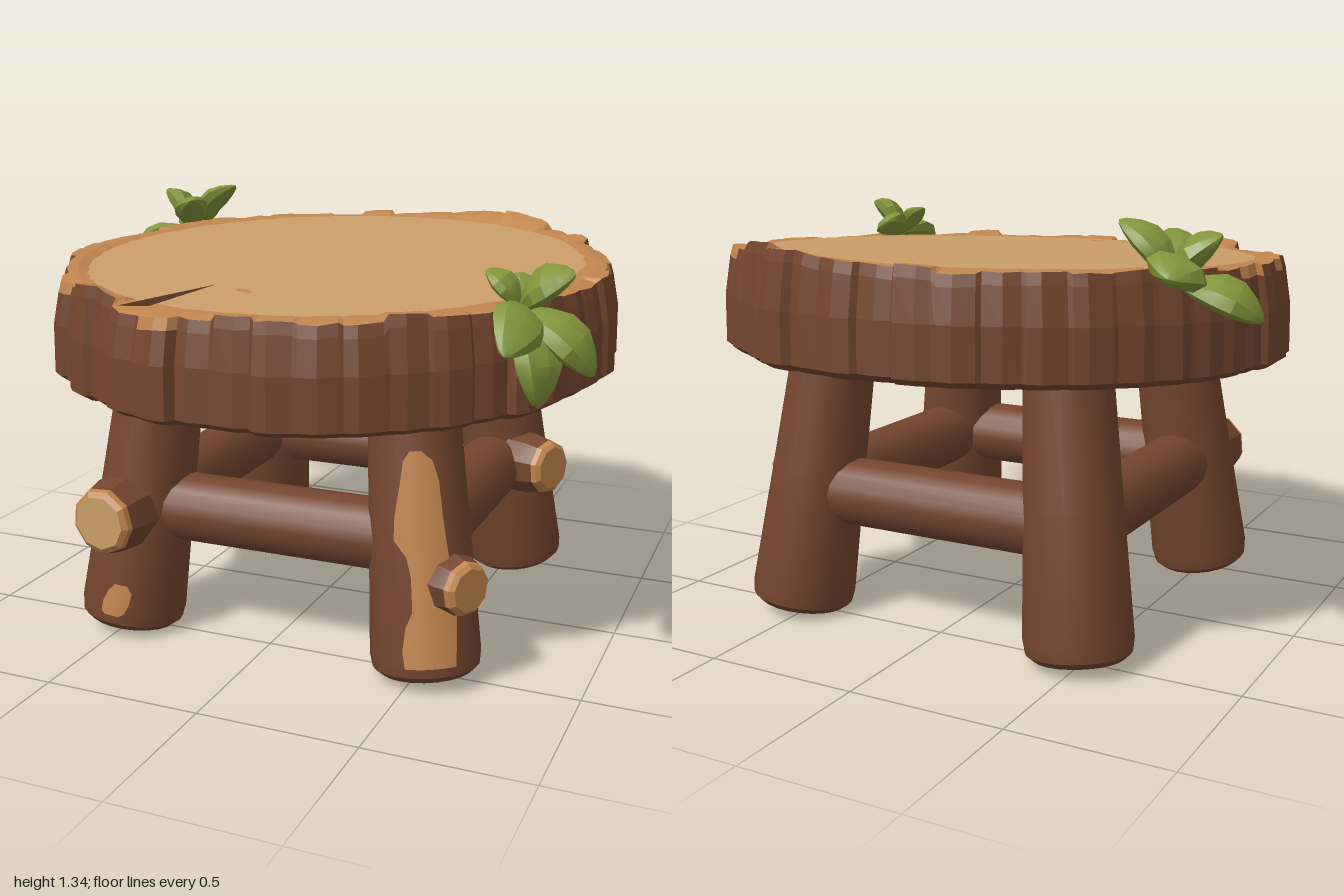
import * as THREE from 'three';
import { toCreasedNormals } from 'three/addons/utils/BufferGeometryUtils.js';

const V = (x, y, z) => new THREE.Vector3(x, y, z);
const UP = V(0, 1, 0);

function makeMaterial(name, color) {
  const m = new THREE.MeshStandardMaterial({ color });
  m.name = name;
  return m;
}

function rng(seed) {
  return () => ((seed = (seed * 16807) % 2147483647) - 1) / 2147483646;
}

export function createModel() {
  const bark = makeMaterial('bark', 0x74452f);
  const wood = makeMaterial('pale wood', 0xcb9f69);
  const rimWood = makeMaterial('orange wood', 0xc0854e);
  const leafGreen = makeMaterial('leaf green', 0x82943a);
  const crackDark = makeMaterial('crack brown', 0x55321f);

  const model = new THREE.Group();
  model.name = 'logStool';

  function add(parent, name, geometry, material) {
    const mesh = new THREE.Mesh(geometry, material);
    mesh.name = name;
    parent.add(mesh);
    return mesh;
  }

  // Group whose local y axis runs from a towards b
  function axisGroup(name, a, b) {
    const g = new THREE.Group();
    g.name = name;
    g.position.copy(a);
    g.quaternion.setFromUnitVectors(UP, b.clone().sub(a).normalize());
    model.add(g);
    return g;
  }

  function lathe(profile, sides, crease = 0.6) {
    const pts = profile.map(([r, y]) => new THREE.Vector2(r, y));
    return toCreasedNormals(new THREE.LatheGeometry(pts, sides), crease);
  }

  // ---- Seat: a slightly tilted log slice with irregular bark plates ----
  const CX = 0.02;
  const topY = z => 1.168 - 0.045 * z;
  const baseY = z => 0.855 - 0.04 * z;
  const rand = rng(4711);
  const crackAngle = -0.297;
  const plates = 46;
  const columns = [];
  for (let k = 0; k < plates; k++) {
    const shift = (rand() - 0.5) * 0.036;
    const lift = (rand() - 0.5) * 0.024;
    const chipped = rand() < 0.14;
    const skew = (rand() - 0.5) * 0.3;
    for (const f of [0.06, 0.5, 0.94]) {
      const t = ((k + f + skew * (f === 0.5 ? 1 : 0)) / plates) * Math.PI * 2 - Math.PI;
      const swell = f === 0.5 ? 0.008 : 0;
      let h = lift + 0.008 * Math.sin(3 * t) + (rand() - 0.5) * 0.008;
      h += 0.03 * Math.exp(-(((t - 2.8) / 0.3) ** 2));
      h += 0.035 * Math.exp(-(((t + 0.55) / 0.16) ** 2));
      if (Math.abs(t - crackAngle) < 0.08) h = -0.015;
      columns.push({ t, r: shift + swell, h, chipped, inner: (rand() - 0.5) * 0.012 });
    }
  }
  const ring = (radius, grow, yFn) => columns.map(c => {
    const r = radius + grow * c.r + (radius < 0.85 && radius > 0 ? c.inner : 0);
    const x = CX + Math.sin(c.t) * r;
    const z = Math.cos(c.t) * r * 1.015;
    return V(x, yFn(z, c), z);
  });
  const rings = [
    ring(0, 0, z => baseY(z) - 0.005),
    ring(0.885, 0.8, z => baseY(z) - 0.005),
    ring(0.912, 1, z => baseY(z) + 0.015),
    ring(0.908, 1.1, z => baseY(z) + 0.17),
    ring(0.89, 1, (z, c) => topY(z) + c.h - 0.035),
    ring(0.88, 1, (z, c) => topY(z) + c.h),
    ring(0.84, 0.3, (z, c) => topY(z) + c.h * 0.5 + 0.004),
    ring(0.805, 0, z => topY(z)),
    ring(0, 0, z => topY(z)),
  ];
  const faces = { seatBark: [], seatRim: [], seatTop: [] };
  for (let i = 0; i < rings.length - 1; i++) {
    for (let j = 0; j < columns.length; j++) {
      const n = (j + 1) % columns.length;
      const [a, b, c, d] = [rings[i][j], rings[i][n], rings[i + 1][n], rings[i + 1][j]];
      const chip = i === 4 && columns[j].chipped;
      const part = i === 7 ? 'seatTop' : i > 4 || chip ? 'seatRim' : 'seatBark';
      if (i > 0) faces[part].push(a, b, d);
      if (i < 7) faces[part].push(b, c, d);
    }
  }
  const seatMaterials = { seatBark: bark, seatRim: rimWood, seatTop: wood };
  for (const [name, pts] of Object.entries(faces)) {
    const g = new THREE.BufferGeometry().setFromPoints(pts);
    g.computeVertexNormals();
    add(model, name, g, seatMaterials[name]);
  }

  // Thin flat marks lying on the seat, outlined by x,z pairs
  function topMark(name, outline, material) {
    const shape = new THREE.Shape(outline.map(([x, z]) => new THREE.Vector2(x, -z)));
    const g = new THREE.ShapeGeometry(shape).rotateX(-Math.PI / 2);
    const p = g.attributes.position;
    for (let i = 0; i < p.count; i++) p.setY(i, topY(p.getZ(i)) + 0.008);
    g.computeVertexNormals();
    add(model, name, g, material);
  }
  topMark('seatCrack', [[-0.15, 0.53], [-0.29, 0.865], [-0.25, 0.86], [-0.2, 0.84]], crackDark);
  topMark('seatScuff', [[-0.07, 0.56], [-0.05, 0.59], [0, 0.61], [0, 0.59], [-0.03, 0.56]], rimWood);

  // ---- Legs: tapered logs splayed towards the corners ----
  const legLength = 0.9;
  const legRadius = h => 0.17 - 0.036 * (h / legLength);
  const legGeometry = lathe([[0, 0], [0.14, 0], [0.163, 0.02], [0.169, 0.06],
    [legRadius(0.45), 0.45], [legRadius(0.9), 0.9]], 22);
  const legs = {};
  for (const [sx, sz, name] of [[1, 1, 'frontLeftLeg'], [-1, 1, 'frontRightLeg'],
    [1, -1, 'backLeftLeg'], [-1, -1, 'backRightLeg']]) {
    const x = sx > 0 ? 0.53 : 0.495;
    const leg = axisGroup(name, V(sx * x, 0.018, sz * 0.515), V(sx * (x - 0.095), 0.9, sz * 0.415));
    add(leg, name + 'Log', legGeometry, bark);
    legs[name] = leg;
  }

  // Peeled patches hugging a leg; rows of [height, from, to] in degrees, top first
  function peel(leg, name, rows) {
    const cols = 8;
    const g = new THREE.PlaneGeometry(1, 1, cols, rows.length - 1);
    const p = g.attributes.position;
    rows.forEach(([h, from, to], i) => {
      for (let j = 0; j <= cols; j++) {
        const t = THREE.MathUtils.degToRad(from + (to - from) * j / cols);
        const r = legRadius(h) + 0.004;
        p.setXYZ(i * (cols + 1) + j, Math.sin(t) * r, h, Math.cos(t) * r);
      }
    });
    g.computeVertexNormals();
    add(leg, name, g, rimWood);
  }
  peel(legs.frontLeftLeg, 'longPeeledPatch', [[0.69, 12, 25], [0.66, 4, 38], [0.6, 0, 44],
    [0.5, -8, 46], [0.43, -10, 48], [0.38, 4, 50], [0.32, 8, 56], [0.22, 8, 56],
    [0.17, 0, 54], [0.1, -4, 52], [0.05, -2, 50]]);
  peel(legs.frontRightLeg, 'smallPeeledPatch', [[0.155, 4, 18], [0.13, -3, 24],
    [0.09, -8, 22], [0.06, -8, 18], [0.05, -4, 12]]);

  // ---- Stretchers joining neighbouring legs ----
  const corners = [[0.48, 0.465], [0.48, -0.465], [-0.455, -0.465], [-0.455, 0.465]];
  ['left', 'back', 'right', 'front'].forEach((side, i) => {
    const [a, b] = [corners[i], corners[(i + 1) % 4]];
    const start = V(a[0], 0.41, a[1]);
    const end = V(b[0], 0.41, b[1]);
    const bar = axisGroup(side + 'Stretcher', start, end);
    const g = new THREE.CylinderGeometry(0.11, 0.11, start.distanceTo(end), 16);
    add(bar, side + 'StretcherLog', g, bark).position.y = start.distanceTo(end) / 2;
  });

  // ---- Cut branch stubs ----
  function knot(name, from, to, r, capMaterial) {
    const g = axisGroup(name, from, to);
    const L = from.distanceTo(to);
    add(g, name + 'Bark', lathe([[r * 1.2, 0], [r * 1.12, L * 0.7], [r, L - 0.03]], 9, 0.3), bark);
    add(g, name + 'Edge', lathe([[r, L - 0.03], [r * 0.96, L - 0.012], [r * 0.8, L]], 9, 0.3), rimWood);
    add(g, name + 'Cap', lathe([[r * 0.8, L], [0, L]], 9), capMaterial);
  }
  knot('frontRightKnot', V(-0.46, 0.41, 0.47), V(-0.48, 0.41, 0.72), 0.108, wood);
  knot('frontLeftKnot', V(0.5, 0.32, 0.485), V(0.685, 0.325, 0.59), 0.083, rimWood);
  knot('backLeftKnot', V(0.47, 0.42, -0.42), V(0.705, 0.43, -0.315), 0.093, rimWood);

  // ---- Leaf sprigs: plump pointed leaves fanning from one base ----
  function leafGeometry(base, tip, width, facing) {
    const len = base.distanceTo(tip);
    const g = new THREE.SphereGeometry(1, 8, 7);
    const p = g.attributes.position;
    for (let i = 0; i < p.count; i++) {
      const t = (p.getY(i) + 1) / 2;
      const fullness = 0.6 + 0.4 * Math.sin(Math.PI * t);
      p.setXYZ(i, p.getX(i) * width * 0.5 * fullness, len * Math.pow(t, 0.9),
        p.getZ(i) * width * 0.27 * fullness + 0.12 * len * Math.sin(Math.PI * t));
    }
    const y = tip.clone().sub(base).normalize();
    const x = y.clone().cross(facing).normalize();
    g.applyMatrix4(new THREE.Matrix4().makeBasis(x, y, x.clone().cross(y)).setPosition(base));
    return toCreasedNormals(g, 0.5);
  }
  function sprig(name, base, facing, leaves) {
    const g = new THREE.Group();
    g.name = name;
    model.add(g);
    leaves.forEach(([x, y, z, w], i) =>
      add(g, `${name}Leaf${i + 1}`, leafGeometry(base, V(x, y, z), w, facing), leafGreen));
  }
  sprig('frontLeftSprig', V(0.78, 1.15, 0.52), V(0.6, 0.7, 0.35), [
    [0.99, 0.97, 0.5, 0.17], [0.81, 1.07, 0.79, 0.16], [0.86, 0.89, 0.6, 0.17],
    [0.94, 1.26, 0.57, 0.15], [0.77, 1.2, 0.38, 0.13], [0.68, 1.25, 0.52, 0.1],
  ]);
  sprig('backRightSprig', V(-0.77, 1.16, -0.49), V(-0.4, 0.85, -0.3), [
    [-1.0, 1.06, -0.43, 0.16], [-0.83, 1.2, -0.72, 0.18], [-0.91, 1.3, -0.54, 0.16],
    [-0.69, 1.29, -0.32, 0.13], [-0.6, 1.33, -0.51, 0.13],
  ]);

  return model;
}
